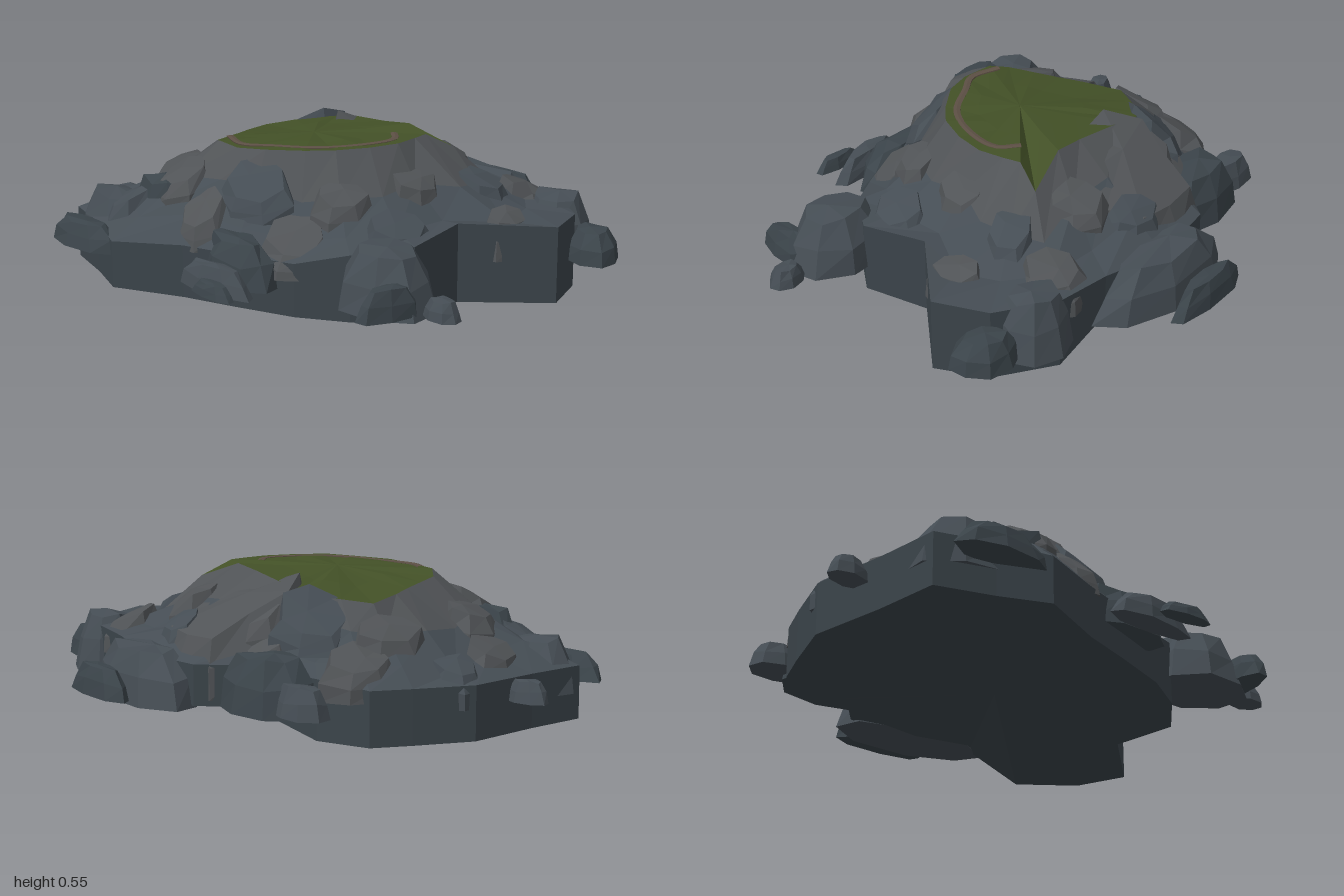
import * as THREE from 'three';

let seed = 7;
const rand = () => (seed = (seed * 16807) % 2147483647) / 2147483647;
const jitter = (a) => (rand() * 2 - 1) * a;

const material = (color) => new THREE.MeshStandardMaterial({ color, flatShading: true, roughness: 1 });
const slate = material(0x454d54);
const darkSlate = material(0x3b444a);
const stone = material(0x505356);
const grass = material(0x435127);
const earth = material(0x5c4f44);

// Skin a stack of rings (clockwise from above, bottom to top), with optional cap centres.
function loft(rings, bottom, top) {
  const tri = [];
  const n = rings[0].length;
  for (let i = 0; i < n; i++) {
    const j = (i + 1) % n;
    for (let k = 0; k < rings.length - 1; k++) {
      const lo = rings[k], up = rings[k + 1];
      tri.push(lo[i], up[i], lo[j], lo[j], up[i], up[j]);
    }
    const last = rings[rings.length - 1];
    if (bottom) tri.push(bottom, rings[0][i], rings[0][j]);
    if (top) tri.push(top, last[j], last[i]);
  }
  const g = new THREE.BufferGeometry().setFromPoints(tri);
  g.computeVertexNormals();
  return g;
}

function add(group, name, geometry, mat) {
  const mesh = new THREE.Mesh(geometry, mat);
  mesh.name = name;
  group.add(mesh);
}

// Faceted boulder: wide foot, tapered sides, crown that may lean (rise per unit x and z).
function boulder(x, z, rx, rz, y0, y1, turn = 0, lean = [0, 0], crown = 0.6, sides = 8) {
  const wobble = Array.from({ length: sides }, () => 1.04 + jitter(0.09));
  const levels = [[0, 1], [0.5, 0.45 + crown * 0.7], [0.94, crown]];
  const c = Math.cos(turn), s = Math.sin(turn);
  const point = (u, v, h) => {
    const dx = u * c - v * s, dz = u * s + v * c;
    return new THREE.Vector3(x + dx, y0 + (y1 - y0 + lean[0] * dx + lean[1] * dz) * h, z + dz);
  };
  const rings = levels.map(([h, scale], k) => wobble.map((w, i) => {
    const a = (i / sides) * Math.PI * 2 + 0.2;
    const r = w * scale * (k ? 1 + jitter(0.08) : 1);
    return point(Math.cos(a) * rx * r, Math.sin(a) * rz * r, h + (k ? jitter(0.06) : 0));
  }));
  return loft(rings, point(0, 0, 0), point(jitter(0.2) * rx, jitter(0.2) * rz, 1));
}

// Each row: foot x, foot z, cliff height, plateau x, plateau z, plateau height.
const OUTLINE = [
  [-0.90, 0.18, 0.20, -0.47, 0.12, 0.47], [-0.85, -0.05, 0.20, -0.54, -0.02, 0.455],
  [-0.81, -0.20, 0.20, -0.48, -0.12, 0.47], [-0.62, -0.30, 0.22, -0.42, -0.21, 0.48],
  [-0.42, -0.45, 0.25, -0.36, -0.24, 0.49], [-0.30, -0.62, 0.25, -0.28, -0.24, 0.51],
  [0.00, -0.68, 0.25, -0.05, -0.23, 0.53], [0.27, -0.64, 0.27, 0.08, -0.24, 0.545],
  [0.50, -0.63, 0.28, 0.27, -0.30, 0.48], [0.72, -0.50, 0.28, 0.23, -0.19, 0.54],
  [0.82, -0.31, 0.29, 0.25, -0.12, 0.54], [0.58, -0.04, 0.30, 0.27, -0.02, 0.54],
  [0.64, 0.22, 0.28, 0.25, 0.10, 0.54], [0.50, 0.40, 0.25, 0.20, 0.22, 0.54],
  [0.33, 0.52, 0.20, 0.12, 0.30, 0.535], [0.10, 0.62, 0.20, 0.00, 0.39, 0.53],
  [-0.10, 0.70, 0.20, -0.12, 0.43, 0.52], [-0.36, 0.84, 0.18, -0.25, 0.42, 0.52],
  [-0.55, 0.78, 0.20, -0.32, 0.38, 0.50], [-0.77, 0.73, 0.20, -0.37, 0.29, 0.49],
  [-0.82, 0.48, 0.20, -0.42, 0.20, 0.48],
];

// Boulders around the foot: x, z, half width, half depth, bottom, top, turn.
const FOOT_ROCKS = [
  [0.00, -0.67, 0.32, 0.13, 0.09, 0.29, 0], [-0.03, -0.86, 0.20, 0.05, 0.12, 0.23, -0.06],
  [0.56, -0.56, 0.14, 0.13, 0.10, 0.33, -0.2], [0.78, -0.53, 0.12, 0.09, 0.12, 0.24, 0.35],
  [-0.73, -0.42, 0.12, 0.08, 0.12, 0.23, -0.1], [-0.51, -0.43, 0.20, 0.13, 0.10, 0.31, -0.15],
  [-0.90, 0.40, 0.09, 0.05, 0.12, 0.20, -0.2], [-0.56, 0.83, 0.18, 0.07, 0.12, 0.22, -0.1],
  [-0.60, 0.66, 0.21, 0.12, 0.10, 0.30, 0.2], [0.10, 0.60, 0.20, 0.08, 0.10, 0.27, 0],
  [0.14, 0.73, 0.18, 0.05, 0.10, 0.20, -0.1], [0.24, 0.81, 0.11, 0.035, 0.12, 0.17, 0],
  [0.65, 0.36, 0.20, 0.16, 0.10, 0.32, 0.1], [0.79, 0.47, 0.06, 0.13, 0.12, 0.23, 0.1],
  [0.92, 0.34, 0.075, 0.05, 0.12, 0.19, 0], [-0.35, 0.59, 0.19, 0.09, 0.12, 0.39, 0],
];

export function createModel() {
  seed = 7;
  const model = new THREE.Group();
  model.name = 'rockyMesa';

  // Foot ring, undercut at the back
  const foot = OUTLINE.map(([x, z], i) => new THREE.Vector3(x, i > 3 && i < 8 ? 0.1 : 0, z));
  const ledge = OUTLINE.map(([x, z, y]) => new THREE.Vector3(x, y, z));
  const rim = OUTLINE.map((r) => new THREE.Vector3(r[3], r[5], r[4]));
  add(model, 'cliffBase', loft([foot, ledge], new THREE.Vector3(-0.1, 0, 0.1)), darkSlate);

  // Rough slopes between cliff and plateau, more hollow towards +x
  const slopes = [0.3, 0.66].map((t) => ledge.map((p, i) => {
    const q = p.clone().lerp(rim[i], t + jitter(0.06));
    q.y -= 0.015 + 0.09 * Math.max(0, p.x) + jitter(0.02);
    return q;
  }));
  add(model, 'lowerSlope', loft([ledge, slopes[0], slopes[1]]), slate);
  add(model, 'upperSlope', loft([slopes[1], rim]), stone);

  // Rocks set into the slopes, leaning with them
  ledge.forEach((p, i) => {
    const q = slopes[i % 2][i];
    const run = rim[i].clone().sub(p);
    const rise = 0.8 * run.y / (run.x ** 2 + run.z ** 2);
    const rock = boulder(q.x, q.z, 0.13 + jitter(0.03), 0.10 + jitter(0.02), q.y - 0.12, q.y + 0.035,
      Math.atan2(run.x, -run.z), [run.x * rise, run.z * rise], 0.72, 7);
    add(model, `slopeRock${i + 1}`, rock, i % 3 ? stone : slate);
  });

  // Grassy plateau
  const middle = new THREE.Vector3(-0.08, 0.535, 0.1);
  const inner = rim.map((p) => {
    const q = p.clone().lerp(middle, 0.45);
    q.y += jitter(0.006);
    return q;
  });
  add(model, 'grassTop', loft([rim, inner], null, middle), grass);

  // Flat worn path curving along the plateau edge
  const path = new THREE.CatmullRomCurve3([
    [0.14, -0.11], [0.21, -0.05], [0.20, 0.09], [0.12, 0.24], [-0.03, 0.34], [-0.13, 0.40], [-0.25, 0.37],
  ].map(([x, z]) => new THREE.Vector3(x, -Math.max(0, z - 0.2) * 0.2, z)));
  add(model, 'edgePath', new THREE.TubeGeometry(path, 28, 0.015, 6).scale(1, 0.3, 1).translate(0, 0.539, 0), earth);

  // Large sloping slab at the back
  add(model, 'backSlab', boulder(-0.14, -0.37, 0.26, 0.25, 0.12, 0.455, 0, [0, 0.5], 0.84, 10), stone);

  FOOT_ROCKS.forEach((r, i) => add(model, `footRock${i + 1}`, boulder(...r), i % 2 ? darkSlate : slate));
  return model;
}
